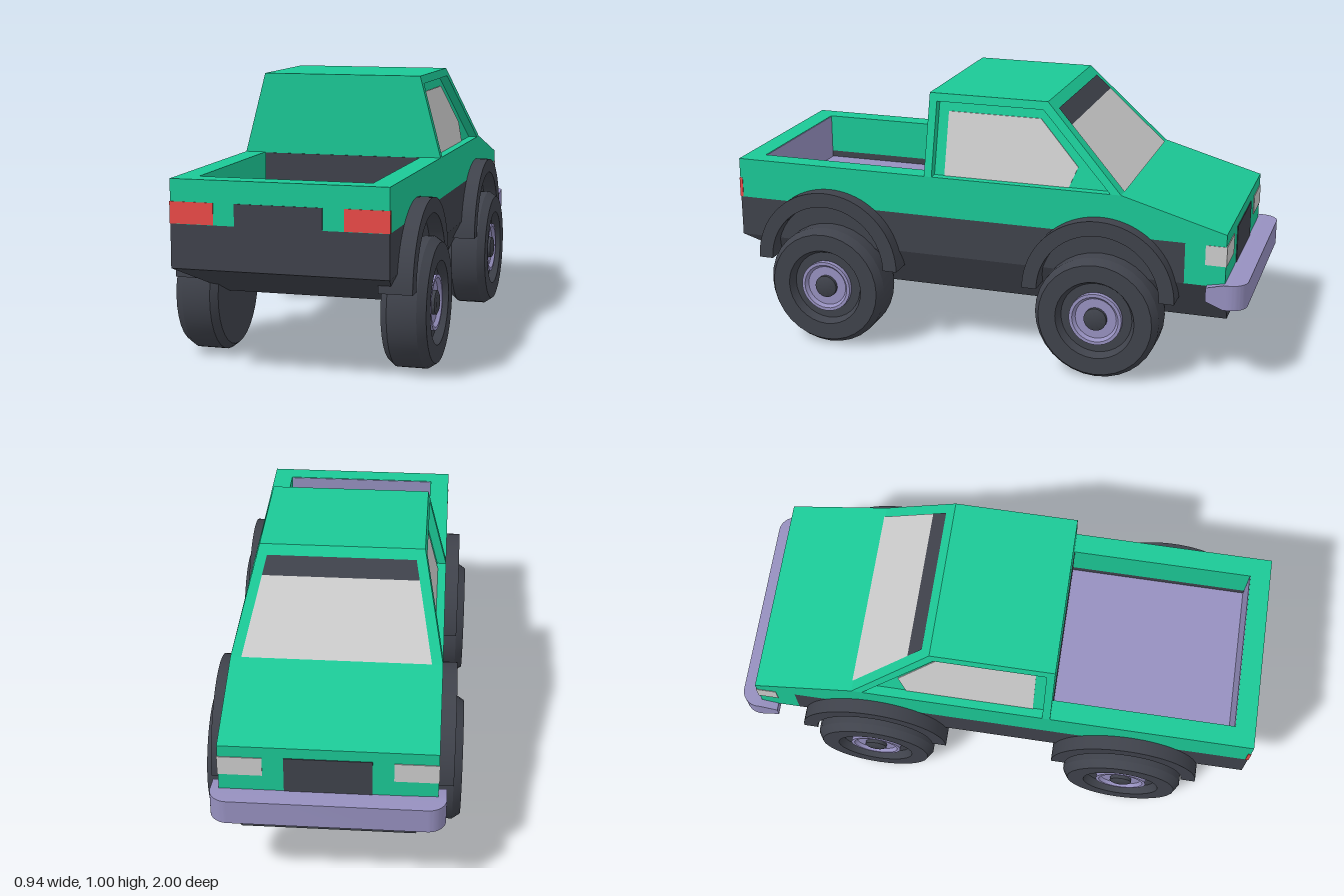
import * as THREE from 'three';
import { toCreasedNormals } from 'three/addons/utils/BufferGeometryUtils.js';

const mat = (color) => new THREE.MeshStandardMaterial({ color, side: THREE.DoubleSide });
const green = mat(0x1bc896), dark = mat(0x3f424b), purple = mat(0x9690bf);
const red = mat(0xea4a48), grey = mat(0xcccccc);

const shapeOf = (pts) => new THREE.Shape(pts.map(([a, b]) => new THREE.Vector2(a, b)));

// Side profile of [z, y] points, extruded across x from x0 to x1
function sideProfile(pts, x0, x1) {
  const g = new THREE.ExtrudeGeometry(shapeOf(pts.map(([z, y]) => [-z, y])), { depth: x1 - x0, bevelEnabled: false });
  return g.rotateY(Math.PI / 2).translate(x0, 0, 0);
}

// Plan shape drawn as (x, -z), extruded upwards from y0 to y1
function planProfile(shape, y0, y1) {
  const g = new THREE.ExtrudeGeometry(shape, { depth: y1 - y0, bevelEnabled: false, curveSegments: 8 });
  return g.rotateX(-Math.PI / 2).translate(0, y0, 0);
}

// Move every vertex by a rule
function warp(g, rule) {
  const p = g.attributes.position, v = new THREE.Vector3();
  for (let i = 0; i < p.count; i++) {
    rule(v.fromBufferAttribute(p, i));
    p.setXYZ(i, v.x, v.y, v.z);
  }
  g.computeVertexNormals();
  return g;
}

export function createModel() {
  const model = new THREE.Group();
  model.name = 'pickupTruck';
  const add = (name, g, m, parent = model) => {
    const mesh = new THREE.Mesh(g, m);
    mesh.name = name;
    parent.add(mesh);
    return mesh;
  };
  const box = (name, m, x0, x1, y0, y1, z0, z1) =>
    add(name, new THREE.BoxGeometry(x1 - x0, y1 - y0, z1 - z0)
      .translate((x0 + x1) / 2, (y0 + y1) / 2, (z0 + z1) / 2), m);
  const W = 0.385;

  // Bonnet and cab base, with the dark band below
  add('bonnet', sideProfile([[0.23, 0.545], [0.23, 0.7], [-0.53, 0.7], [-0.92, 0.59],
    [-0.92, 0.39], [-0.77, 0.39], [-0.77, 0.545]], -W, W), green);
  box('lowerBody', dark, -W, W, 0.39, 0.545, -0.77, 0.23);

  // Chassis, narrowing towards its flat bottom
  add('chassis', warp(sideProfile([[1, 0.39], [0.64, 0.24], [-0.92, 0.24], [-0.92, 0.39]], -W, W),
    (v) => { v.x -= Math.sign(v.x) * (0.39 - v.y) * 0.5; }), dark);

  // Load bed: U-shaped walls, liner and floor
  const bed = shapeOf([[-W, -0.23], [-W, -1], [W, -1], [W, -0.23],
    [0.308, -0.23], [0.308, -0.923], [-0.308, -0.923], [-0.308, -0.23]]);
  add('bedLowerWalls', planProfile(bed, 0.39, 0.545), dark);
  add('bedUpperWalls', planProfile(bed, 0.545, 0.7), green);
  box('bedFloor', purple, -0.308, 0.308, 0.4, 0.52, 0.23, 0.923);
  box('bedFrontWall', dark, -0.305, 0.305, 0.52, 0.698, 0.225, 0.233);
  box('bedTailLiner', purple, -0.305, 0.305, 0.52, 0.698, 0.92, 0.93);

  // Cab core, side window frames and glass, leaning inwards with height
  const lean = (v) => { v.x -= Math.sign(v.x) * (v.y - 0.7) * 0.262; };
  const cab = [[0.23, 0.7], [0.23, 1.005], [-0.23, 1.005], [-0.53, 0.7]];
  add('cab', warp(sideProfile(cab, -0.35, 0.35), lean), green);
  const frame = [...cab, [-0.49, 0.7], [-0.215, 0.975], [0.2, 0.975], [0.2, 0.7]];
  const glass = [[0.16, 0.7], [0.16, 0.935], [-0.2, 0.935], [-0.355, 0.775], [-0.325, 0.7]];
  for (const s of [-1, 1]) {
    const span = (a, b) => (s > 0 ? [a, b] : [-b, -a]);
    add('windowFrame', warp(sideProfile(frame, ...span(0.35, W)), lean), green);
    add('sideWindow', warp(sideProfile(glass, ...span(0.345, 0.353)), lean), grey);
  }

  // Windscreen panes on the slope, t running from its foot to the roof
  const pane = (name, m, t0, t1) => {
    const half = (t) => 0.345 - 0.078 * t;
    const g = new THREE.ShapeGeometry(shapeOf([[-half(t0), t0], [half(t0), t0], [half(t1), t1], [-half(t1), t1]]));
    add(name, warp(g, (v) => v.set(-v.x, 0.702 + 0.305 * v.y, -0.533 + 0.3 * v.y)), m);
  };
  pane('windscreen', grey, 0, 0.72);
  pane('windscreenTint', dark, 0.72, 0.9);

  // Tail panel, grille and lights
  box('tailPanel', dark, -0.155, 0.155, 0.54, 0.622, 0.99, 1.002);
  box('grille', dark, -0.155, 0.155, 0.39, 0.548, -0.923, -0.91);
  for (const s of [-1, 1]) {
    const a = s > 0 ? 0.23 : -W - 0.002, b = s > 0 ? W + 0.002 : -0.23;
    box('tailLight', red, a, b, 0.546, 0.622, 0.99, 1.002);
    box('headlight', grey, a, b, 0.47, 0.545, -0.923, -0.845);
  }

  // Front bumper with rounded corners and tapered ends
  const R = 0.065, B = 0.415, bumper = new THREE.Shape();
  bumper.moveTo(-B, 0.855).lineTo(B, 0.855).lineTo(B, 0.92).lineTo(B, 1 - R);
  bumper.absarc(B - R, 1 - R, R, 0, Math.PI / 2, false);
  bumper.absarc(R - B, 1 - R, R, Math.PI / 2, Math.PI, false);
  bumper.lineTo(-B, 0.92);
  add('bumper', toCreasedNormals(warp(planProfile(bumper, 0.315, 0.41), (v) => {
    if (v.z > -0.88) v.y = 0.367 + (v.y - 0.3625) * 0.55;
  }), 0.6), purple);

  // Wheels turn about x; the outer side points to +x
  const lathe = (pts) => toCreasedNormals(new THREE.LatheGeometry(
    pts.map(([r, x]) => new THREE.Vector2(r, x)), 32).rotateZ(-Math.PI / 2), 0.5);
  const tyreGeo = lathe([[0, 0.31], [0.215, 0.31], [0.235, 0.335], [0.235, 0.44], [0.215, 0.47],
    [0.15, 0.47], [0.135, 0.44], [0, 0.44]]);
  const rimGeo = lathe([[0.1, 0.435], [0.1, 0.46], [0.088, 0.46], [0.078, 0.447], [0, 0.447]]);
  const hubGeo = lathe([[0.043, 0.44], [0.043, 0.46], [0.033, 0.465], [0, 0.465]]);

  // Half-ring wheel arch
  const ring = new THREE.Shape();
  ring.absarc(0, 0, 0.288, 0, Math.PI, false);
  ring.absarc(0, 0, 0.232, Math.PI, 0, true);
  const archGeo = toCreasedNormals(new THREE.ExtrudeGeometry(ring,
    { depth: 0.12, bevelEnabled: false, curveSegments: 20 }).rotateY(Math.PI / 2).translate(0.32, 0.322, 0), 0.5);

  // The rear axle sits slightly askew
  for (const [s, z] of [[1, -0.46], [-1, -0.46], [1, 0.617], [-1, 0.54]]) {
    const wheel = new THREE.Group();
    wheel.name = (z < 0 ? 'front' : 'rear') + (s > 0 ? 'Left' : 'Right') + 'Wheel';
    wheel.position.z = z;
    if (s < 0) wheel.rotation.y = Math.PI;
    add('tyre', tyreGeo, dark, wheel).position.y = 0.237;
    add('rim', rimGeo, purple, wheel).position.y = 0.237;
    add('hub', hubGeo, dark, wheel).position.y = 0.237;
    add('wheelArch', archGeo, dark, wheel);
    model.add(wheel);
  }
  return model;
}
